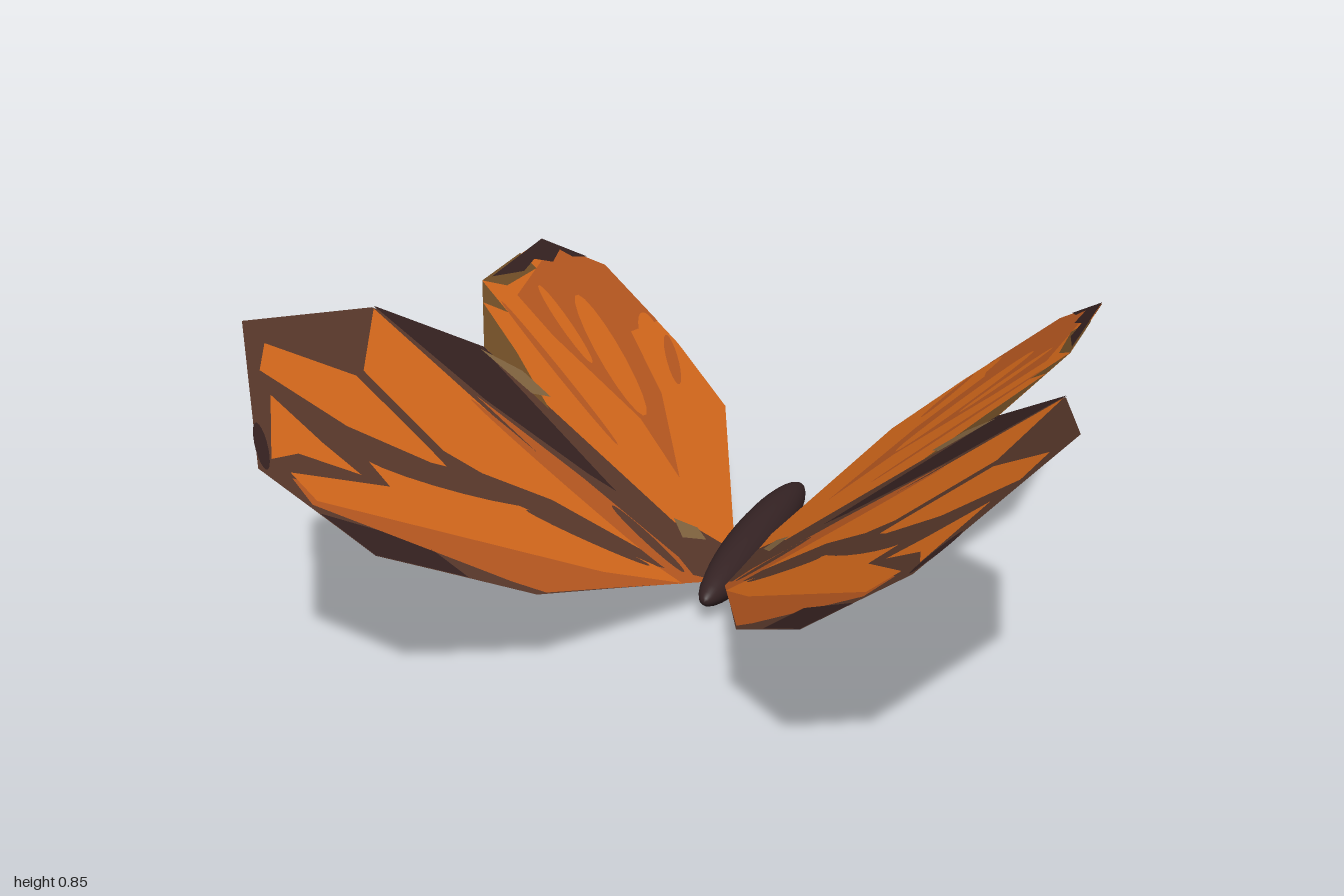
import * as THREE from 'three';

const mat = (name, color) => new THREE.MeshStandardMaterial({ name, color, side: THREE.DoubleSide });

// Leaf-shaped outline running from one end to the other, widest in the middle
function leaf(x1, z1, x2, z2, width) {
  const a = new THREE.Vector2(x1, z1), b = new THREE.Vector2(x2, z2);
  const across = new THREE.Vector2(z1 - z2, x2 - x1).normalize();
  const points = [];
  for (let i = 0; i < 20; i++) {
    const t = (i / 20) * Math.PI * 2;
    points.push(a.clone().lerp(b, 0.5 - 0.5 * Math.cos(t)).addScaledVector(across, Math.sin(t) * width / 2));
  }
  return points;
}

// Straight-sided outline from [x, z] corners
const outline = (...corners) => corners.map(([x, z]) => new THREE.Vector2(x, z));

// Lays a plan outline onto the sloping wing plane, facing upward on either side
function wingSheet(points, side, lift) {
  const geo = new THREE.ShapeGeometry(new THREE.Shape(points));
  const pos = geo.attributes.position;
  for (let i = 0; i < pos.count; i++) {
    const x = pos.getX(i), z = pos.getY(i);
    pos.setXYZ(i, side * x, 0.063 + 0.787 * x + lift, z);
  }
  if (side > 0) geo.setIndex(Array.from(geo.index.array).reverse());
  geo.computeVertexNormals();
  return geo;
}

export function createModel() {
  const orange = mat('orange', 0xd4681b);
  const rust = mat('rust', 0xb65720);
  const brown = mat('vein brown', 0x58382b);
  const dark = mat('dark brown', 0x342120);
  const olive = mat('olive brown', 0x704d26);
  const tan = mat('tan', 0x82643f);
  const bodyColor = mat('body brown', 0x352324);

  const model = new THREE.Group();
  model.name = 'butterfly';
  const wings = [1, -1].map(side => {
    const group = new THREE.Group();
    group.name = side > 0 ? 'leftWings' : 'rightWings';
    model.add(group);
    return { side, group };
  });

  // Adds a part to both wings; layers above 0 are markings on both faces
  function paint(name, material, layer, points) {
    for (const { side, group } of wings) {
      for (const face of layer ? [1, -1] : [0]) {
        const mesh = new THREE.Mesh(wingSheet(points, side, face * layer * 0.0008), material);
        mesh.name = name;
        group.add(mesh);
      }
    }
  }

  // Forewing sheet, shown as the veins between its cells
  paint('forewing', brown, 0, outline([0, -0.11], [0, -0.07], [0.25, 0.53], [0.5, 0.83], [0.75, 0.885], [1, 0.525], [0.89, 0.11], [0.69, -0.11]));
  paint('rearBand', dark, 1, outline([0.26, -0.04], [0.42, -0.09], [0.69, -0.11], [0.89, 0.1], [0.6, 0.07], [0.35, 0]));
  paint('tipShade', dark, 1, outline([0.36, 0.66], [0.5, 0.83], [0.62, 0.855], [0.46, 0.68]));
  paint('tipCorner', dark, 1, leaf(0.74, 0.87, 0.82, 0.77, 0.03));
  paint('rootStreak', rust, 1, outline([0.04, 0.02], [0.1, 0], [0.35, 0.03], [0.62, 0.085], [0.3, 0.09], [0.06, 0.08]));
  paint('rootSpot', brown, 2, leaf(0.07, 0.035, 0.27, 0.035, 0.04));

  // Forewing cells
  paint('rearCell', orange, 2, outline([0.16, 0.09], [0.885, 0.11], [0.79, 0.34], [0.57, 0.36], [0.49, 0.32], [0.36, 0.2]));
  paint('rearCellEdge', rust, 3, leaf(0.1, 0.08, 0.62, 0.115, 0.03));
  paint('middleCell', orange, 1, outline([0.53, 0.4], [0.6, 0.39], [0.79, 0.375], [0.94, 0.53], [0.9, 0.62], [0.72, 0.55]));
  paint('outerCell', orange, 1, outline([0.63, 0.65], [0.72, 0.66], [0.85, 0.66], [0.75, 0.83], [0.73, 0.75]));
  paint('frontCellEdge', rust, 1, outline([0.01, -0.04], [0.12, 0.1], [0.7, 0.83], [0.64, 0.85], [0.3, 0.56], [0.24, 0.5]));
  paint('frontCell', orange, 2, outline([0.06, 0.08], [0.12, 0.1], [0.44, 0.35], [0.66, 0.59], [0.58, 0.61], [0.71, 0.82], [0.64, 0.83], [0.19, 0.28]));
  paint('cellVein', brown, 3, leaf(0.13, 0.12, 0.38, 0.31, 0.025));
  paint('cellFork', brown, 3, leaf(0.36, 0.23, 0.66, 0.6, 0.07));

  // Hindwing sheet and its margins
  paint('hindwing', orange, 0, outline([0, -0.11], [0.69, -0.11], [0.81, -0.35], [0.815, -0.745], [0.68, -0.89], [0.43, -0.84], [0.25, -0.755], [0, -0.16]));
  paint('innerMargin', brown, 2, outline([0, -0.1], [0.7, -0.1], [0.3, -0.03], [0.04, 0]));
  paint('outerMargin', olive, 1, outline([0.69, -0.11], [0.81, -0.35], [0.72, -0.32], [0.77, -0.27], [0.64, -0.2], [0.5, -0.1]));
  paint('sideMargin', olive, 2, outline([0.81, -0.35], [0.815, -0.6], [0.765, -0.6], [0.77, -0.42]));
  paint('cornerShade', dark, 3, outline([0.815, -0.745], [0.72, -0.85], [0.74, -0.79], [0.77, -0.77], [0.755, -0.69], [0.785, -0.63], [0.775, -0.54], [0.805, -0.4]));
  paint('palePatch', tan, 2, outline([0.52, -0.15], [0.6, -0.15], [0.69, -0.09], [0.55, -0.1]));
  paint('rootShade', brown, 2, outline([0, -0.1], [0.03, -0.2], [0.11, -0.16], [0.16, -0.1]));
  paint('rootPatch', tan, 3, outline([0.08, -0.15], [0.11, -0.165], [0.16, -0.12], [0.12, -0.08]));

  // Hindwing shading and fingers
  paint('rustField', rust, 1, outline([0.68, -0.89], [0.5, -0.855], [0.52, -0.7], [0.37, -0.56], [0.21, -0.29], [0.36, -0.38], [0.62, -0.39], [0.74, -0.42], [0.79, -0.77]));
  paint('lowerFinger', rust, 1, leaf(0.35, -0.2, 0.75, -0.34, 0.03));
  paint('rearFinger', rust, 1, leaf(0.36, -0.66, 0.46, -0.83, 0.04));
  paint('longFinger', orange, 2, leaf(0.36, -0.4, 0.66, -0.65, 0.1));
  paint('sideFinger', orange, 2, leaf(0.52, -0.42, 0.73, -0.54, 0.05));
  paint('edgeFinger', orange, 2, leaf(0.43, -0.67, 0.53, -0.84, 0.07));

  // Slender body
  const body = new THREE.Mesh(new THREE.SphereGeometry(1, 32, 20).rotateX(Math.PI / 2), bodyColor);
  body.name = 'body';
  body.scale.set(0.067, 0.067, 0.39);
  body.position.set(0, 0.067, -0.31);
  model.add(body);

  return model;
}
